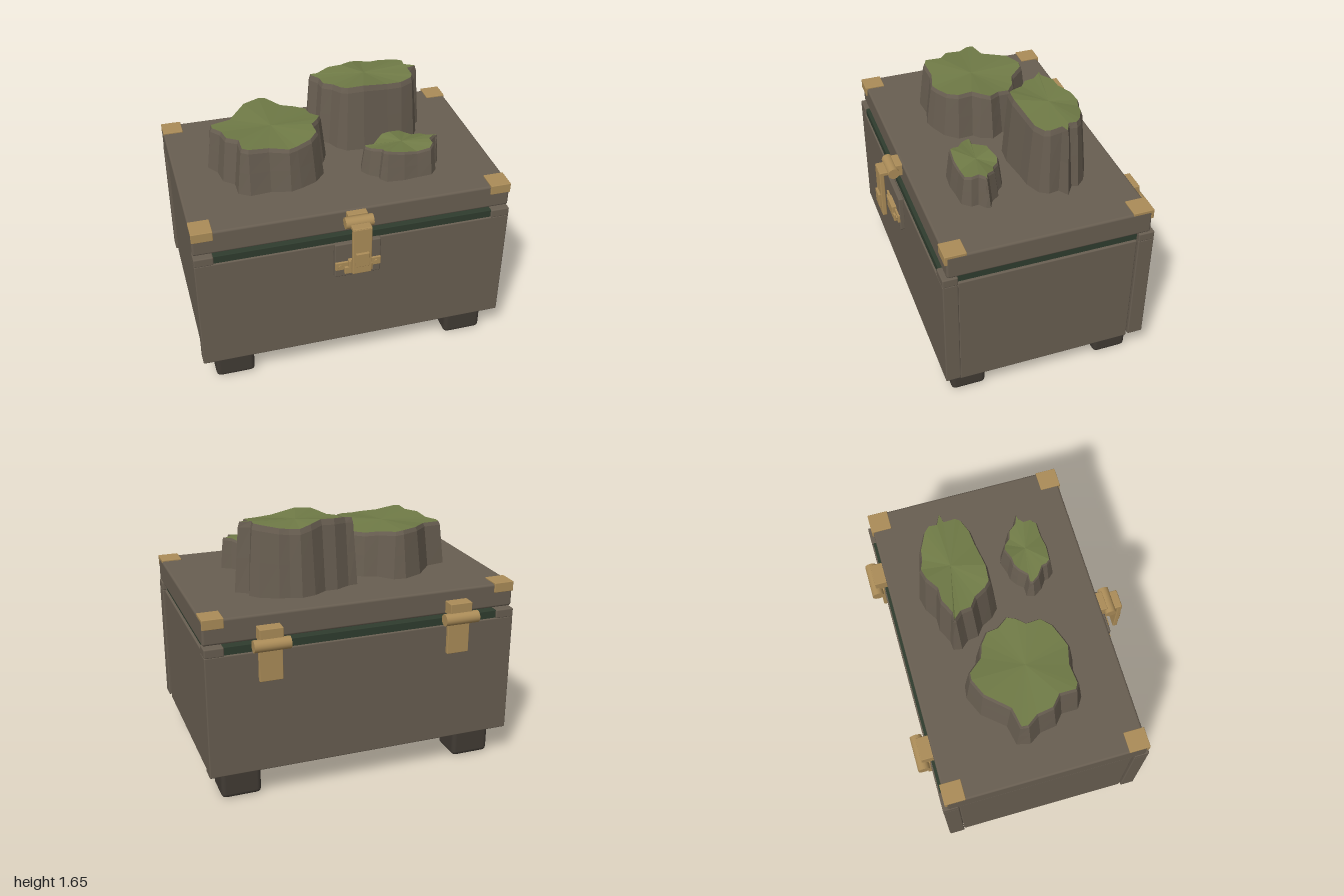
import * as THREE from 'three';
import { RoundedBoxGeometry } from 'three/addons/geometries/RoundedBoxGeometry.js';

const material = (name, color) => {
  const m = new THREE.MeshStandardMaterial({ color });
  m.name = name;
  return m;
};

// Rock outlines seen from above, as x, z pairs in hundredths
const ROCKS = [
  { name: 'wideRock', height: 1.5, inset: 0.046, phase: 0.6, outline: [
    -78, -7, -76, -15.5, -63.5, -18, -52, -31.5, -39.5, -37, -31.5, -36, -23.5, -27, -15.5, -24.5,
    -7.5, -18, -6.5, -10, -1.5, -2, -5, 6, -9, 9.5, -8.5, 19, -15.5, 27, -26, 31.5, -33, 33.5,
    -45, 30.5, -58, 31.5, -65, 27, -65, 16.5, -71.5, 11, -73, 0.5] },
  { name: 'tallRock', height: 1.637, inset: 0.046, phase: 2.2, outline: [
    -7.5, -31, -6.5, -36.5, -0.5, -37, 8.5, -41.5, 16.5, -41.5, 24.5, -46.5, 33.5, -48.5, 40.5, -46,
    47, -45, 58, -39.5, 63, -34, 62, -30, 69.5, -25, 63.5, -21, 64.5, -14.5, 61, -9, 51.5, -5,
    41.5, -4, 24.5, -1.5, 13, -2.5, 7.5, -7.5, 4, -14.5, -2, -19, -3, -26] },
  { name: 'smallRock', height: 1.395, inset: 0.032, phase: 1.2, outline: [
    14.5, 23, 16, 18, 22, 18, 25.5, 14, 30, 11, 35, 10.5, 43, 8, 48.5, 10, 51.5, 13.5, 56.5, 15,
    60, 20, 66, 23, 64.5, 26, 60.5, 29, 61, 33.5, 56.5, 38.5, 47, 39, 38, 40, 27, 39, 23.5, 35,
    23.5, 32.5, 18, 28.5] },
];

function triangles(points) {
  const g = new THREE.BufferGeometry().setFromPoints(points);
  g.computeVertexNormals();
  return g;
}

// Tapered rock walls in rings, closed with a mossy fan
function rock({ name, height, inset, phase, outline }, stone, moss) {
  const pts = [];
  for (let i = 0; i < outline.length; i += 2) {
    pts.push(new THREE.Vector2(outline[i] / 100, outline[i + 1] / 100));
  }
  const n = pts.length;
  const centre = pts.reduce((s, p) => s.add(p), new THREE.Vector2()).divideScalar(n);
  const ring = (t, amount) => pts.map((p, i) => {
    const d = pts[(i + 1) % n].clone().sub(pts[(i + n - 1) % n]).normalize();
    const angle = Math.atan2(p.y - centre.y, p.x - centre.x);
    const top = height + 0.015 * Math.sin(3 * angle + phase);
    return new THREE.Vector3(
      p.x - d.y * amount, 1.2 + (top - 1.2) * t, p.y + d.x * amount);
  });
  const rings = [[0, 0], [0.5, 0.4], [0.92, 0.75], [1, 1]].map(([t, k]) => ring(t, k * inset));
  const wall = [], cap = [];
  const mid = new THREE.Vector3(centre.x, height, centre.y);
  for (let i = 0; i < n; i++) {
    const j = (i + 1) % n;
    for (let r = 0; r < rings.length - 1; r++) {
      const a = rings[r], b = rings[r + 1];
      wall.push(a[j], a[i], b[i], a[j], b[i], b[j]);
    }
    cap.push(mid, rings[3][j], rings[3][i]);
  }
  const group = new THREE.Group();
  group.name = name;
  const sides = new THREE.Mesh(triangles(wall), stone);
  sides.name = 'rockSides';
  const top = new THREE.Mesh(triangles(cap), moss);
  top.name = 'mossTop';
  group.add(sides, top);
  return group;
}

export function createModel() {
  const model = new THREE.Group();
  model.name = 'chest';
  const stone = material('brownStone', 0x685e51);
  const dark = material('darkFoot', 0x413b34);
  const brass = material('brass', 0xab8c58);
  const moss = material('moss', 0x6f7a46);
  const seal = material('darkGreenSeal', 0x2f3c2e);

  // Box given by its extents on each axis
  const box = (name, mat, [x0, x1], [y0, y1], [z0, z1], r = 0.008) => {
    const mesh = new THREE.Mesh(new RoundedBoxGeometry(x1 - x0, y1 - y0, z1 - z0, 2, r), mat);
    mesh.position.set((x0 + x1) / 2, (y0 + y1) / 2, (z0 + z1) / 2);
    mesh.name = name;
    model.add(mesh);
  };
  const rod = (name, x, y, z, radius, length, axis = 'x') => {
    const g = new THREE.CylinderGeometry(radius, radius, length, 20);
    if (axis === 'x') g.rotateZ(Math.PI / 2);
    else g.rotateX(Math.PI / 2);
    const mesh = new THREE.Mesh(g, brass);
    mesh.position.set(x, y, z);
    mesh.name = name;
    model.add(mesh);
  };
  // Extents mirrored to the left or right
  const side = (s, a, b) => (s > 0 ? [a, b] : [-b, -a]);

  // Body
  box('frontPanel', stone, [-1, 1], [0.2, 0.99], [0.545, 0.64]);
  box('backPanel', stone, [-1, 1], [0.2, 0.99], [-0.69, -0.588]);
  box('floor', stone, [-0.92, 0.92], [0.168, 0.23], [-0.62, 0.545]);
  box('frontSeal', seal, [-0.89, 0.89], [0.98, 1.04], [0.55, 0.63], 0.004);
  box('backSeal', seal, [-0.89, 0.89], [0.98, 1.04], [-0.68, -0.6], 0.004);

  // Lid
  box('lid', stone, [-1, 1], [1.05, 1.207], [-0.66, 0.613], 0.015);

  for (const s of [-1, 1]) {
    box('sidePanel', stone, side(s, 0.89, 0.985), [0.175, 0.987], [-0.586, 0.543]);
    box('sideSeal', seal, side(s, 0.89, 0.97), [0.98, 1.04], [-0.6, 0.55], 0.004);
    for (const [z0, z1] of [[0.545, 0.64], [-0.69, -0.588]]) {
      box('rimBlock', stone, side(s, 0.88, 1), [0.985, 1.043], [z0, z1]);
    }
    for (const [z0, z1] of [[0.355, 0.58], [-0.623, -0.398]]) {
      box('foot', dark, side(s, 0.66, 0.915), [0, 0.195], [z0, z1], 0.03);
    }
    // Corner guards folded over the lid edge
    box('cornerTop', brass, side(s, 0.87, 1), [1.195, 1.216], [0.49, 0.623], 0.004);
    box('cornerFront', brass, side(s, 0.87, 1), [1.152, 1.212], [0.603, 0.623], 0.004);
    box('cornerTop', brass, side(s, 0.87, 1), [1.195, 1.216], [-0.67, -0.538], 0.004);
    box('cornerBack', brass, side(s, 0.87, 1), [1.152, 1.212], [-0.67, -0.65], 0.004);

    // Hinges
    rod('hingeBarrel', s * 0.608, 1.043, -0.735, 0.038, 0.225);
    box('hingeUpperLeaf', brass, side(s, 0.535, 0.68), [1.06, 1.14], [-0.738, -0.655], 0.004);
    box('hingeLowerLeaf', brass, side(s, 0.535, 0.68), [0.802, 1.03], [-0.715, -0.685], 0.004);

    // Latch catch ears and screws
    box('catchEar', brass, side(s, 0.06, 0.145), [0.81, 0.868], [0.665, 0.682], 0.004);
    rod('catchScrew', s * 0.115, 0.839, 0.684, 0.013, 0.012, 'z');
  }

  // Latch
  box('latchPlate', stone, [-0.147, 0.147], [0.75, 1], [0.635, 0.67]);
  box('catchBase', brass, [-0.09, 0.09], [0.785, 0.837], [0.665, 0.695], 0.004);
  box('catchHook', brass, [-0.065, 0.065], [0.825, 0.885], [0.665, 0.7], 0.004);
  box('latchMount', brass, [-0.062, 0.062], [1.12, 1.2], [0.608, 0.655], 0.004);
  rod('latchBarrel', 0, 1.16, 0.673, 0.036, 0.175);
  box('latchArm', brass, [-0.06, 0.06], [1.138, 1.165], [0.675, 0.758], 0.006);
  box('latchStrap', brass, [-0.06, 0.06], [0.828, 1.16], [0.73, 0.76], 0.006);
  box('latchTab', brass, [-0.042, 0.042], [0.89, 0.987], [0.755, 0.775], 0.004);

  // Mossy rocks on the lid
  for (const r of ROCKS) model.add(rock(r, stone, moss));
  return model;
}
